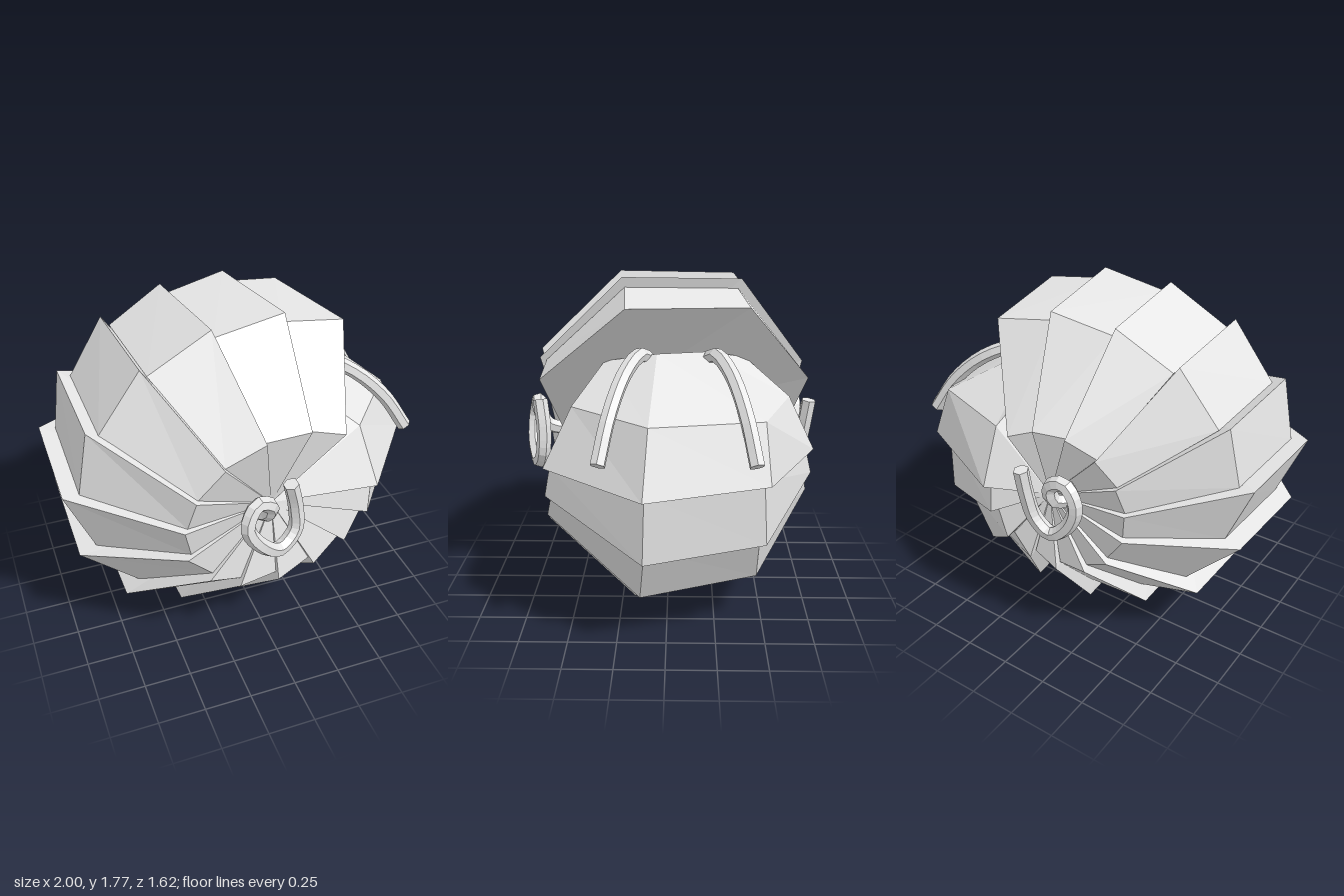
import * as THREE from 'three';

const shellMat = new THREE.MeshStandardMaterial({ color: 0xe6e6e6, flatShading: true });
shellMat.name = 'pale grey shell';

// Front crown corner (x, y) of each plate's wide rim, from the head round to the tail
const tips = [
  [1.0, 0.85], [0.91, 0.5], [0.65, 0.2], [0.32, 0.04], [-0.03, 0], [-0.4, 0.09], [-0.72, 0.27],
  [-0.95, 0.65], [-1.0, 1.03], [-0.85, 1.36], [-0.56, 1.63], [-0.19, 1.76], [0.2, 1.77], [0.54, 1.66],
];
const frontHub = [0.01, 0.9, 0.58], backHub = [-0.07, 0.9, -0.65];

// Cross-section of the rolled body, from front hub over the crown to back hub;
// the narrow end of a plate is shrunk to slide under the previous rim
function section([x, y], narrow = false) {
  const a = Math.atan2(y - 0.9, x), c = Math.cos(a), n = Math.sin(a);
  const s = narrow ? 0.91 + 0.03 * n : 1, w = narrow ? 0.95 : 1;
  const m = (1 + s) / 2, twist = 0.06 * Math.max(0, n) * c;
  return [
    frontHub,
    [0.05 + 0.55 * c * m, 0.9 + 0.46 * n * m, (0.675 - 0.06 * c + 0.01 * n) * w],
    [x * s, 0.9 + (y - 0.9) * s, (0.235 - 0.13 * c + 0.015 * n + twist) * w],
    [(x - 0.07 - 0.07 * c - 0.02 * n * n) * s, 0.9 + (y - 0.87 - 0.05 * n) * s, (-0.38 - 0.115 * c + 0.01 * n + twist) * w],
    [-0.13 + 0.4 * c * m, 0.9 + 0.4 * n * m, (-0.72 - 0.05 * c) * w],
    backHub,
  ];
}

// Solid skin through successive sections, capped at both ends
function loft(sections, name) {
  const v = [];
  const tri = (a, b, c) => v.push(...a, ...b, ...c);
  for (let k = 0; k + 1 < sections.length; k++) {
    const S = sections[k], E = sections[k + 1];
    tri(S[0], E[1], S[1]);
    for (let i = 1; i < 4; i++) {
      tri(S[i], E[i], E[i + 1]);
      tri(S[i], E[i + 1], S[i + 1]);
    }
    tri(S[4], E[4], E[5]);
  }
  const first = sections[0], last = sections[sections.length - 1];
  for (let i = 1; i < 5; i++) {
    tri(first[0], first[i], first[i + 1]);
    tri(last[0], last[i + 1], last[i]);
  }
  const g = new THREE.BufferGeometry();
  g.setAttribute('position', new THREE.Float32BufferAttribute(v, 3));
  g.computeVertexNormals();
  const mesh = new THREE.Mesh(g, shellMat);
  mesh.name = name;
  return mesh;
}

// Six-sided rod along a curve with closed ends
function rod(points, radius, segments, name) {
  const curve = new THREE.CatmullRomCurve3(points.map((p) => new THREE.Vector3(...p)));
  const group = new THREE.Group();
  group.name = name;
  group.add(new THREE.Mesh(new THREE.TubeGeometry(curve, segments, radius, 6), shellMat));
  const frames = curve.computeFrenetFrames(segments);
  for (const t of [0, 1]) {
    const i = t * segments, d = t ? 1 : -1;
    const cap = new THREE.Mesh(new THREE.CircleGeometry(radius, 6), shellMat);
    const z = frames.tangents[i].clone().multiplyScalar(d);
    const x = frames.normals[i].clone();
    cap.quaternion.setFromRotationMatrix(new THREE.Matrix4().makeBasis(x, z.clone().cross(x), z));
    cap.position.copy(curve.getPoint(t));
    group.add(cap);
  }
  return group;
}

export function createModel() {
  const model = new THREE.Group();
  model.name = 'rolledShellCreature';

  // Overlapping back plates, each flaring from under the previous rim
  for (let k = 1; k < tips.length; k++) {
    model.add(loft([section(tips[k - 1], true), section(tips[k])], 'backPlate' + k));
  }

  // Domed head tucked inside the open end of the roll
  model.add(loft([
    [frontHub, [0.31, 1.36, 0.32], [0.42, 1.42, 0.05], [0.36, 1.42, -0.2], [0.2, 1.36, -0.4], backHub],
    [frontHub, [0.54, 1.18, 0.47], [0.87, 1.17, 0.08], [0.76, 1.17, -0.47], [0.28, 1.17, -0.63], backHub],
    section(tips[0]),
  ], 'headShield'));

  // Antennae sweeping forward over the head
  const antenna = [[0.34, 1.36, 0.08], [0.44, 1.42, 0.13], [0.6, 1.36, 0.2], [0.78, 1.2, 0.265], [0.91, 1.0, 0.31]];
  model.add(rod(antenna, 0.038, 12, 'leftAntenna'));
  model.add(rod(antenna.map(([x, y, z]) => [x, y, -0.11 - z]), 0.038, 12, 'rightAntenna'));

  // Curled feelers at both hubs
  model.add(rod([
    [0.06, 1.09, 0.7], [0.1, 0.93, 0.68], [0.1, 0.79, 0.69], [0, 0.72, 0.73], [-0.12, 0.81, 0.77],
    [-0.19, 0.94, 0.77], [-0.13, 1.04, 0.74], [-0.05, 1.0, 0.72], [-0.05, 0.92, 0.68], [-0.1, 0.88, 0.58],
  ], 0.04, 32, 'frontCurl'));
  model.add(rod([
    [0.01, 1.08, -0.77], [0, 0.93, -0.75], [-0.03, 0.79, -0.73], [-0.12, 0.72, -0.72], [-0.22, 0.8, -0.71],
    [-0.27, 0.94, -0.71], [-0.21, 1.04, -0.71], [-0.12, 1.0, -0.71], [-0.12, 0.91, -0.69], [-0.17, 0.88, -0.6],
  ], 0.04, 32, 'backCurl'));
  return model;
}
